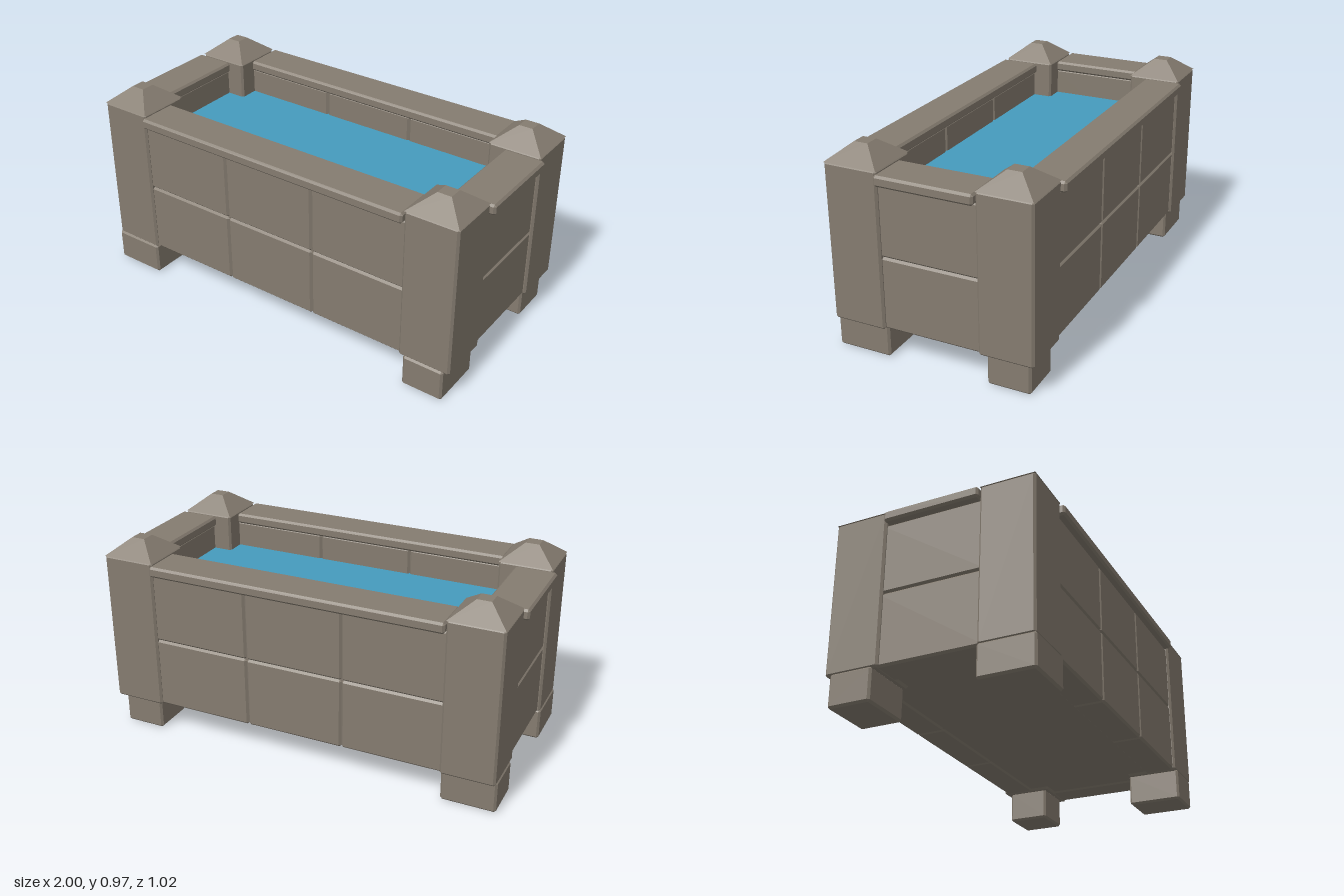
import * as THREE from 'three';
import { ConvexGeometry } from 'three/addons/geometries/ConvexGeometry.js';

const stone = new THREE.MeshStandardMaterial({ name: 'stone', color: 0x857c70, flatShading: true });
const water = new THREE.MeshStandardMaterial({ name: 'water', color: 0x459bbd, flatShading: true });

// Box given by its min and max corners, with every edge chamfered by c.
function block(name, [x0, x1], [y0, y1], [z0, z1], c = 0.01) {
  const half = [(x1 - x0) / 2, (y1 - y0) / 2, (z1 - z0) / 2];
  const points = [];
  for (const sx of [-1, 1]) for (const sy of [-1, 1]) for (const sz of [-1, 1]) {
    for (let axis = 0; axis < 3; axis++) {
      const p = half.map((h, i) => (i === axis ? h : h - c));
      points.push(new THREE.Vector3(p[0] * sx, p[1] * sy, p[2] * sz));
    }
  }
  const mesh = new THREE.Mesh(new ConvexGeometry(points), stone);
  mesh.name = name;
  mesh.position.set((x0 + x1) / 2, (y0 + y1) / 2, (z0 + z1) / 2);
  return mesh;
}

// Range mirrored to the side given by s.
const side = (s, a, b) => (s > 0 ? [a, b] : [-b, -a]);

export function createModel() {
  const model = new THREE.Group();
  model.name = 'stoneTrough';
  const rows = [[0.152, 0.498], [0.498, 0.838]];
  const columns = [[-0.74, -0.241], [-0.241, 0.241], [0.241, 0.74]];

  // Corner posts with truncated pyramid caps, and feet of uneven sizes
  const capGeometry = new THREE.CylinderGeometry(0.033 * Math.SQRT2, 0.129 * Math.SQRT2, 0.077, 4);
  capGeometry.rotateY(Math.PI / 4);
  for (const sx of [-1, 1]) for (const sz of [-1, 1]) {
    model.add(block('cornerPost', side(sx, 0.72, 0.977), [0.15, 0.895], side(sz, 0.229, 0.487)));
    const cap = new THREE.Mesh(capGeometry, stone);
    cap.name = 'postCap';
    cap.position.set(sx * 0.848, 0.93, sz * 0.358);
    model.add(cap);
    const footX = sx > 0 ? [0.745, 0.948] : [-0.98, -0.72];
    const footZ = sz > 0 ? [0.228, 0.492] : [-0.46, -0.255];
    model.add(block('foot', footX, [0, 0.158], footZ));
  }

  // Long walls: three columns of two slabs let into the posts, topped by a rim
  for (const sz of [-1, 1]) {
    for (const row of rows) for (const column of columns) {
      model.add(block('longWallSlab', column, row, side(sz, 0.325, 0.475)));
    }
    model.add(block('longRim', [-0.722, 0.722], [0.835, 0.886], side(sz, 0.309, 0.508)));
  }

  // End walls: two stacked slabs let into the posts, topped by a rim
  for (const sx of [-1, 1]) {
    for (const row of rows) {
      model.add(block('endWallSlab', side(sx, 0.815, 0.963), row, [-0.25, 0.25]));
    }
    model.add(block('endRim', side(sx, 0.799, 1), [0.835, 0.886], [-0.231, 0.231]));
  }

  // Floor and water
  model.add(block('floor', [-0.84, 0.84], [0.16, 0.2], [-0.35, 0.35], 0.005));
  const pool = new THREE.Mesh(new THREE.BoxGeometry(1.66, 0.52, 0.68), water);
  pool.name = 'water';
  pool.position.y = 0.45;
  model.add(pool);

  return model;
}
